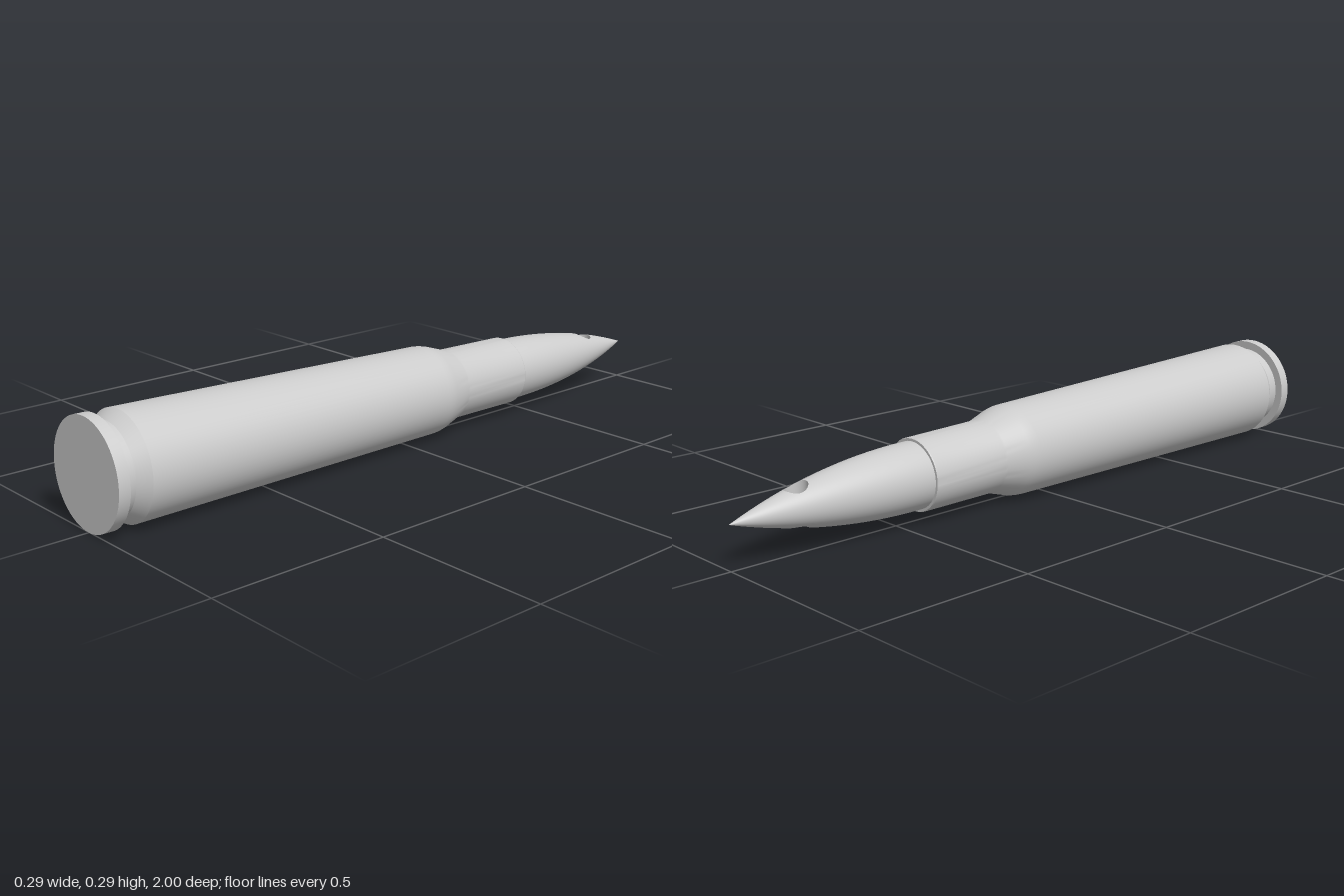
import * as THREE from 'three';
import { toCreasedNormals } from 'three/addons/utils/BufferGeometryUtils.js';

const SEGMENTS = 64;
const material = new THREE.MeshStandardMaterial({ color: 0xcccccc });

// Built along +y (tip up), laid down later so the tip points to -z.
const BULLET = { radius: 0.092, start: 0.45, tip: 1 };
const HOLE = { radius: 0.031, centre: 0.806, halfPatch: 0.066 };

// Tangent ogive: radius and slope at a station along the axis
const noseLength = BULLET.tip - BULLET.start;
const arc = (BULLET.radius ** 2 + noseLength ** 2) / (2 * BULLET.radius);
function ogive(s) {
  const d = Math.max(0, s - BULLET.start);
  const root = Math.sqrt(arc * arc - d * d);
  return { r: Math.max(0, root + BULLET.radius - arc), slope: -d / root };
}

function lathe(profile, crease) {
  const points = profile.map(([r, y]) => new THREE.Vector2(r, y));
  return toCreasedNormals(new THREE.LatheGeometry(points, SEGMENTS), crease);
}

// Ogive lathe between two stations, with exact normals
function ogiveLathe(from, to, steps) {
  return grid((i, k) => {
    const angle = (k / SEGMENTS) * Math.PI * 2;
    return onOgive(angle, from + ((to - from) * i) / steps);
  }, steps, SEGMENTS, true);
}

function onOgive(angle, s) {
  const { r, slope } = ogive(s);
  const x = Math.sin(angle), z = Math.cos(angle);
  return { p: [x * r, s, z * r], n: new THREE.Vector3(x, -slope, z).normalize().toArray() };
}

// Grid surface from a function of row and column
function grid(fn, rows, cols, flip = false) {
  const positions = [], normals = [], index = [];
  for (let i = 0; i <= rows; i++) {
    for (let k = 0; k <= cols; k++) {
      const { p, n } = fn(i, k);
      positions.push(...p);
      normals.push(...n);
      if (i === rows || k === cols) continue;
      const a = i * (cols + 1) + k, b = a + cols + 1, c = b + 1, d = a + 1;
      if (flip) index.push(a, c, b, a, d, c);
      else index.push(a, b, c, a, c, d);
    }
  }
  const geometry = new THREE.BufferGeometry();
  geometry.setAttribute('position', new THREE.Float32BufferAttribute(positions, 3));
  geometry.setAttribute('normal', new THREE.Float32BufferAttribute(normals, 3));
  geometry.setIndex(index);
  return geometry;
}

// Outline of the half-turn patch round the hole, anticlockwise, as [angle, station]
function patchOutline() {
  const n = SEGMENTS / 2, m = 12, q = Math.PI / 2;
  const lo = HOLE.centre - HOLE.halfPatch, hi = HOLE.centre + HOLE.halfPatch;
  const out = [];
  for (let i = 0; i < m; i++) out.push([q, lo + ((hi - lo) * i) / m]);
  for (let i = 0; i < n; i++) out.push([q - (Math.PI * i) / n, hi]);
  for (let i = 0; i < m; i++) out.push([-q, hi - ((hi - lo) * i) / m]);
  for (let i = 0; i < n; i++) out.push([-q + (Math.PI * i) / n, lo]);
  out.push(out[0]);
  return out;
}

export function createModel() {
  const model = new THREE.Group();
  model.name = 'cartridge';
  const body = new THREE.Group();
  body.name = 'cartridgeBody';
  const add = (name, geometry) => {
    const mesh = new THREE.Mesh(geometry, material);
    mesh.name = name;
    body.add(mesh);
    return mesh;
  };

  // Rim, extractor groove and bevel
  add('rimAndGroove', lathe([
    [0, -1], [0.147, -1], [0.147, -0.968], [0.123, -0.968], [0.123, -0.938], [0.146, -0.905],
  ], 0.3));

  // Tapered case, shoulder, neck and mouth
  add('case', lathe([
    [0.146, -0.905], [0.129, 0.095], [0.1275, 0.112], [0.124, 0.128],
    [0.104, 0.192], [0.1025, 0.2], [0.1005, 0.435], [0.099, 0.438], [0.09, 0.438],
  ], 0.25));

  // Bullet below and above the drilled section
  const lo = HOLE.centre - HOLE.halfPatch, hi = HOLE.centre + HOLE.halfPatch;
  add('bulletShank', ogiveLathe(0.42, lo, 16));
  add('bulletTip', ogiveLathe(hi, BULLET.tip, 10));

  // Drilled section: rings running from the hole edge out to the patch outline
  const outline = patchOutline();
  const edge = outline.map(([angle, s]) => {
    const t = Math.atan2((s - HOLE.centre) / HOLE.halfPatch, angle / (Math.PI / 2));
    const x = HOLE.radius * Math.cos(t), y = HOLE.centre + HOLE.radius * Math.sin(t);
    const r = ogive(y).r;
    return { t, x, y, angle: Math.asin(x / r), z: Math.sqrt(r * r - x * x) };
  });
  const rings = 10;
  const patch = grid((j, k) => {
    const f = j / rings, e = edge[k], [angle, s] = outline[k];
    return onOgive(e.angle + (angle - e.angle) * f, e.y + (s - e.y) * f);
  }, rings, outline.length - 1);
  add('drilledTop', patch);
  add('drilledBottom', patch).rotation.y = Math.PI;

  // Wall of the hole
  add('holeWall', grid((i, k) => {
    const e = edge[k];
    return { p: [e.x, e.y, i ? e.z : -e.z], n: [-Math.cos(e.t), -Math.sin(e.t), 0] };
  }, 1, outline.length - 1));

  // Lay down, resting on the wide part of the case so the tip dips slightly
  body.rotation.x = -Math.PI / 2 - 0.015;
  body.position.y = 0.1335;
  model.add(body);
  return model;
}
